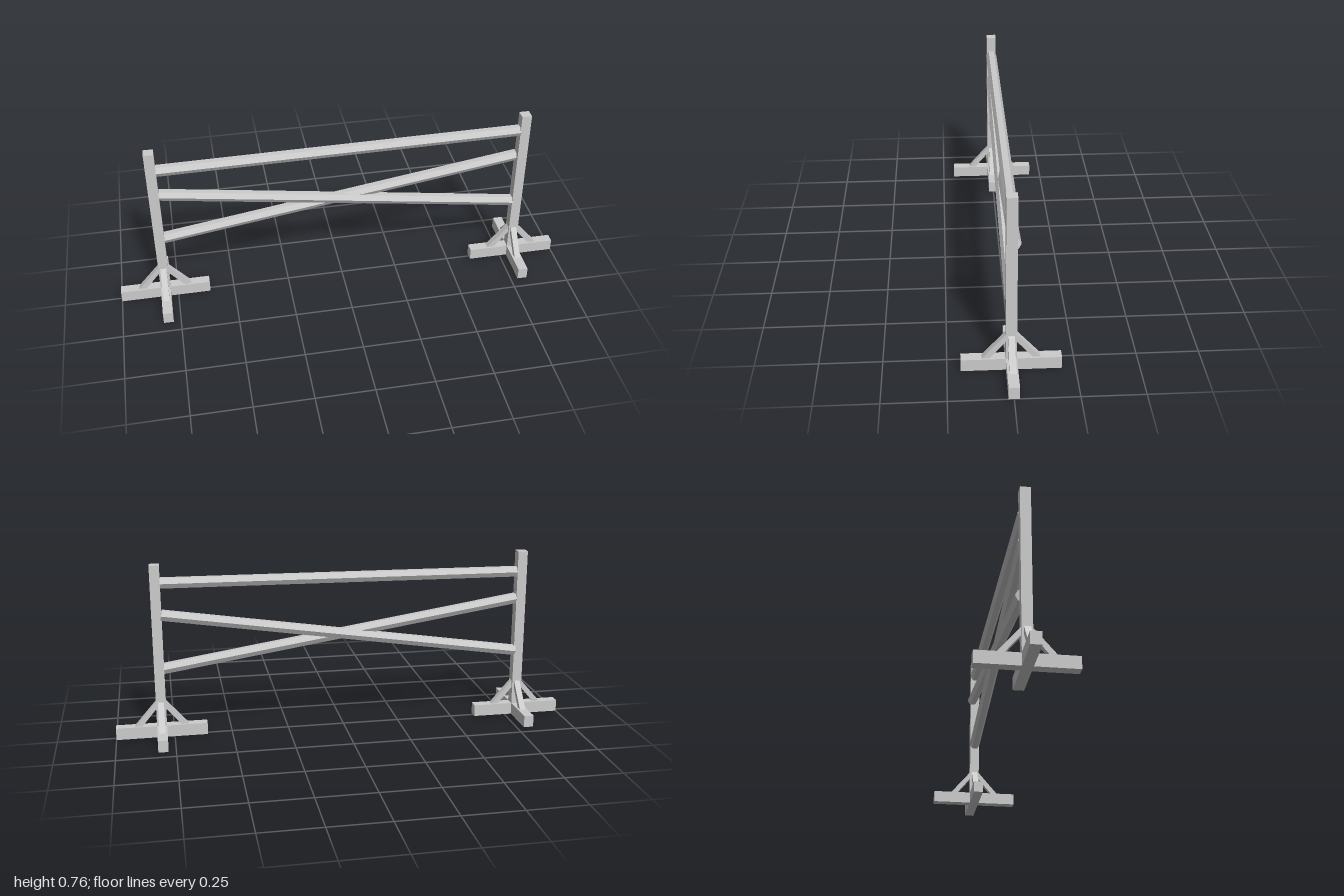
import * as THREE from 'three';

const material = new THREE.MeshStandardMaterial({ color: 0xcccccc, flatShading: true });

const POST_X = 0.8035;  // post centre
const BEAM = 0.043;     // post and foot thickness
const FOOT_H = 0.052;
const FOOT_L = 0.393;

function add(parent, name, geometry) {
  const mesh = new THREE.Mesh(geometry, material);
  mesh.name = name;
  parent.add(mesh);
  return mesh;
}

// Slanted brace with a mitred top and foot, leaning out along +x
function braceGeometry() {
  const shape = new THREE.Shape([
    new THREE.Vector2(0.02, 0.128),
    new THREE.Vector2(0.085, 0.05),
    new THREE.Vector2(0.116, 0.05),
    new THREE.Vector2(0.02, 0.161),
  ]);
  const width = 0.026;
  return new THREE.ExtrudeGeometry(shape, { depth: width, bevelEnabled: false })
    .translate(0, 0, -width / 2);
}

// Upright post on a cross-shaped foot, with four braces
function createStand(name) {
  const stand = new THREE.Group();
  stand.name = name;
  const height = 0.761;
  add(stand, 'post', new THREE.BoxGeometry(BEAM, height, BEAM)).position.y = height / 2;
  add(stand, 'footAcross', new THREE.BoxGeometry(FOOT_L, FOOT_H, BEAM)).position.y = FOOT_H / 2;
  add(stand, 'footAlong', new THREE.BoxGeometry(BEAM, FOOT_H, FOOT_L)).position.y = FOOT_H / 2;
  const brace = braceGeometry();
  for (let i = 0; i < 4; i++) {
    add(stand, 'brace', brace).rotation.y = i * Math.PI / 2;
  }
  return stand;
}

// Six-sided pole spanning the gap between the posts
function createPole(parent, name, yRight, yLeft, z) {
  const span = 1.568;
  const rise = yLeft - yRight;
  const geometry = new THREE.CylinderGeometry(0.025, 0.025, Math.hypot(span, rise), 6);
  const pole = add(parent, name, geometry);
  pole.position.set(0, (yLeft + yRight) / 2, z);
  pole.rotation.z = Math.atan2(rise, span) - Math.PI / 2;
}

export function createModel() {
  const model = new THREE.Group();
  model.name = 'jumpFence';

  for (const side of [-1, 1]) {
    const stand = createStand(side > 0 ? 'leftStand' : 'rightStand');
    stand.position.x = side * POST_X;
    model.add(stand);
  }

  // Top rail, slightly tilted, above two crossed poles
  createPole(model, 'topPole', 0.668, 0.682, 0);
  createPole(model, 'frontCrossPole', 0.546, 0.306, 0);
  createPole(model, 'backCrossPole', 0.306, 0.546, -0.013);

  return model;
}
